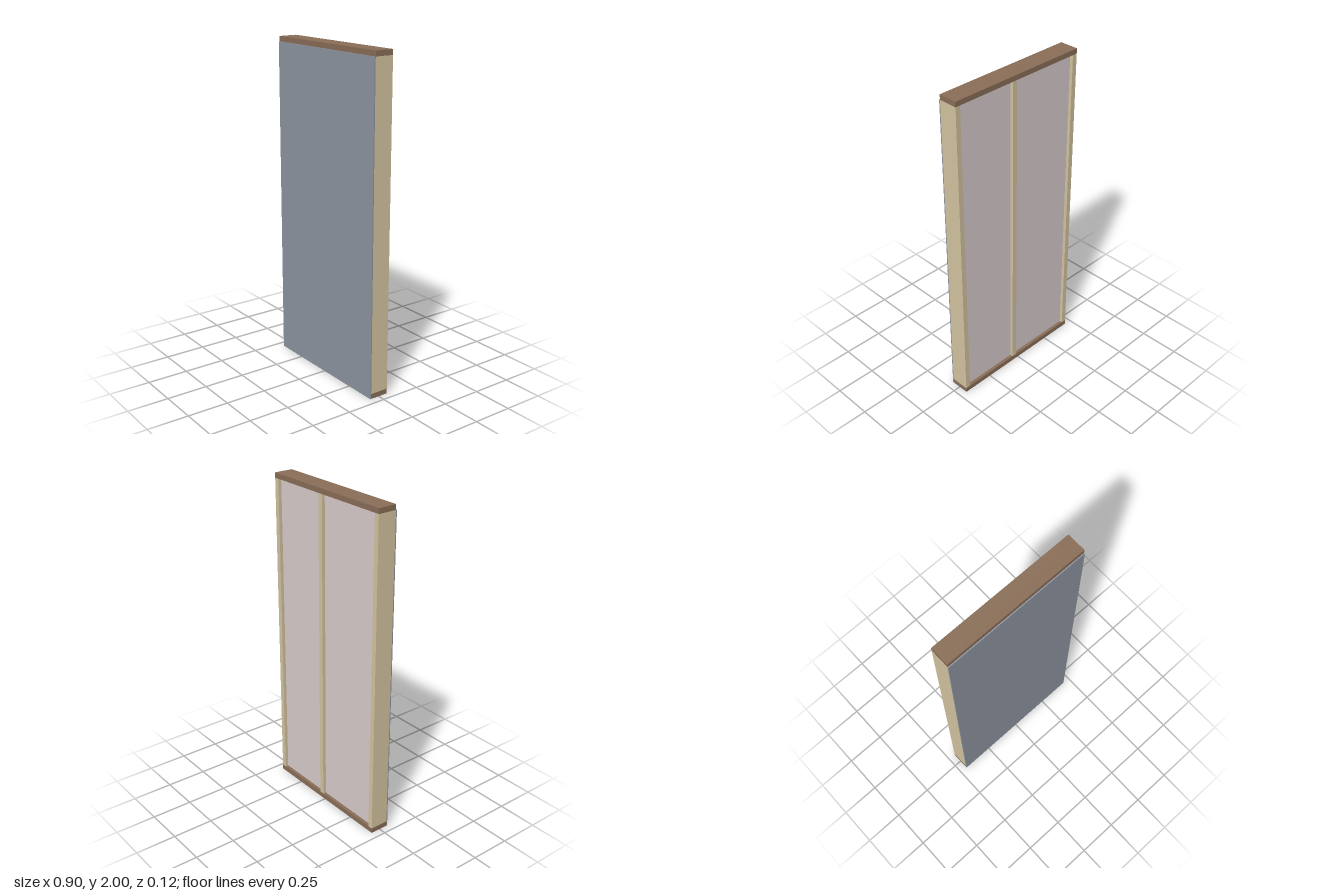
import * as THREE from 'three';

const W = 0.904, H = 2, HZ = 0.0615; // overall width, height, half depth
const T = 0.031;                     // lumber thickness
const SHEET = 0.0065;                // sheathing thickness
const RECESS = 0.02;                 // insulation set back from the open side

export function createModel() {
  const wall = new THREE.Group();
  wall.name = 'framedWallPanel';

  const material = (color) => new THREE.MeshStandardMaterial({ color });
  const plateMat = material(0x8b6f58);
  const studMat = material(0xd6c6a2);
  const sheetMat = material(0x8f97a2);
  const fillMat = material(0xdbcfcf);

  // Box given by its minimum and maximum corners
  const box = (name, mat, [x0, y0, z0], [x1, y1, z1]) => {
    const mesh = new THREE.Mesh(new THREE.BoxGeometry(x1 - x0, y1 - y0, z1 - z0), mat);
    mesh.position.set((x0 + x1) / 2, (y0 + y1) / 2, (z0 + z1) / 2);
    mesh.name = name;
    wall.add(mesh);
  };

  const x = W / 2, zFrame = HZ - SHEET;

  // Horizontal plates
  box('bottomPlate', plateMat, [-x, 0, -HZ], [x, T, zFrame]);
  box('topPlate', plateMat, [-x, H - T, -HZ], [x, H, zFrame]);

  // Studs: two at the ends, one slightly off centre
  const studs = [-x + T / 2, 0.032, x - T / 2];
  studs.forEach((c, i) => {
    box(['rightStud', 'middleStud', 'leftStud'][i], studMat,
      [c - T / 2, T, -HZ], [c + T / 2, H - T, zFrame]);
  });

  // Insulation between neighbouring studs
  for (let i = 0; i < studs.length - 1; i++) {
    box(['rightInsulation', 'leftInsulation'][i], fillMat,
      [studs[i] + T / 2, T, -HZ + RECESS], [studs[i + 1] - T / 2, H - T, zFrame]);
  }

  // Front sheathing, stopping below the top plate
  box('sheathing', sheetMat, [-x, 0, zFrame], [x, H - T, HZ]);

  return wall;
}
